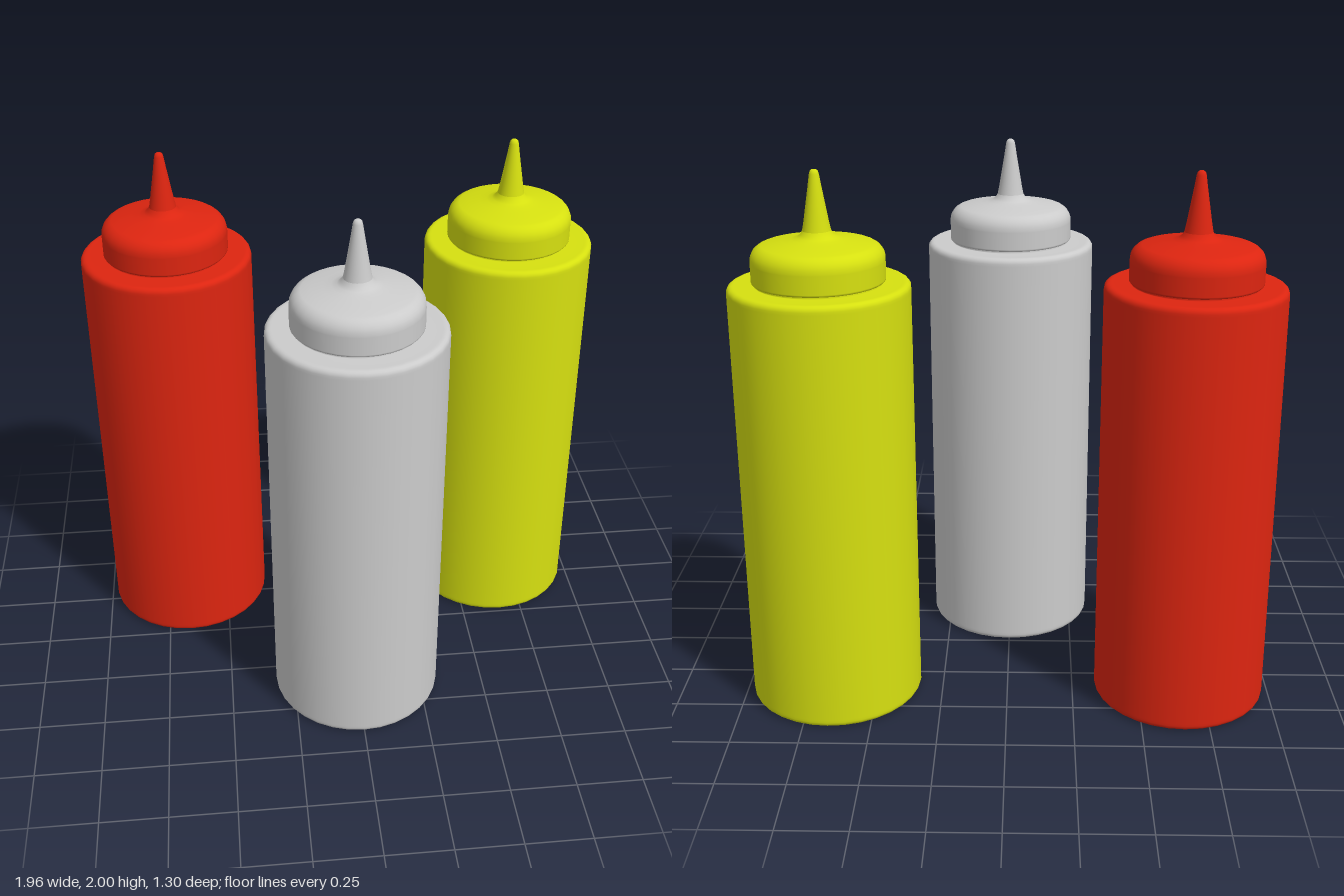
import * as THREE from 'three';

const SIDES = 32;

// Smooth lathe from [radius, height] pairs, listed from bottom to top
function lathe(name, profile, material) {
  const points = profile.map(([r, y]) => new THREE.Vector2(r, y));
  const mesh = new THREE.Mesh(new THREE.LatheGeometry(points, SIDES), material);
  mesh.name = name;
  return mesh;
}

// Points of a quarter-round corner, from angle a0 to a1 (degrees)
function corner(cx, cy, radius, a0, a1, steps = 4) {
  return Array.from({ length: steps + 1 }, (_, i) => {
    const a = THREE.MathUtils.degToRad(a0 + ((a1 - a0) * i) / steps);
    return [cx + radius * Math.cos(a), cy + radius * Math.sin(a)];
  });
}

function createBottle(name, color, x, z) {
  const material = new THREE.MeshStandardMaterial({ color });
  const bottle = new THREE.Group();
  bottle.name = name;

  // Straight body with rounded base and shoulder, and a short neck under the cap
  bottle.add(lathe('body', [
    [0, 0], [0.295, 0], [0.3, 0],
    ...corner(0.302, 0.02, 0.02, -80, 0),
    [0.322, 0.03], [0.322, 1.575],
    ...corner(0.302, 1.585, 0.02, 0, 90),
    [0.295, 1.605], [0.228, 1.605], [0.225, 1.607], [0.225, 1.63],
  ], material));

  // Cap with a rounded edge and a gently domed top
  bottle.add(lathe('cap', [
    [0.222, 1.612], [0.231, 1.612], [0.235, 1.616], [0.235, 1.62], [0.235, 1.685],
    ...corner(0.18, 1.69, 0.055, 0, 75, 6),
    [0.16, 1.75], [0.12, 1.757], [0.09, 1.762], [0.07, 1.768],
    [0.058, 1.777], [0.05, 1.79],
  ], material));

  // Tapered nozzle with a small rounded tip
  bottle.add(lathe('nozzle', [
    [0.05, 1.79], [0.044, 1.82], [0.034, 1.88], [0.024, 1.94], [0.017, 1.985],
    [0.014, 1.995], [0.008, 2], [0, 2],
  ], material));

  bottle.position.set(x, 0, z);
  return bottle;
}

export function createModel() {
  const model = new THREE.Group();
  model.name = 'squeezeBottles';
  model.add(
    createBottle('redBottle', 0xdd2510, -0.658, -0.33),
    createBottle('greyBottle', 0xcccccc, 0, 0.33),
    createBottle('yellowBottle', 0xd6e010, 0.658, -0.33),
  );
  return model;
}
